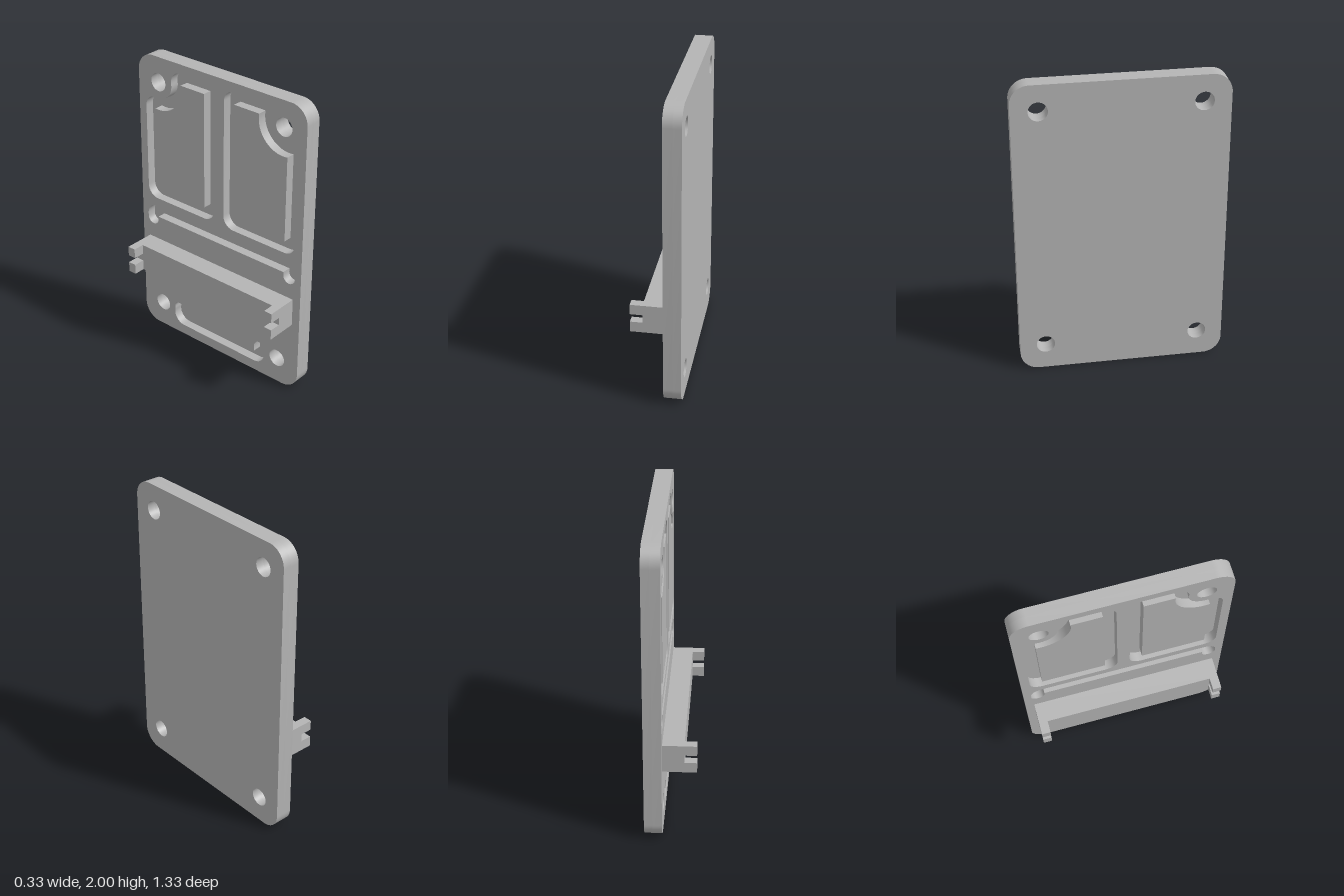
import * as THREE from 'three';
import { toCreasedNormals } from 'three/addons/utils/BufferGeometryUtils.js';

const BACK = 0.05, FLOOR = 0.11, FRONT = 0.163; // plate layers along x
const PI = Math.PI;
const V = (x, y) => new THREE.Vector2(x, y);

// Points along an arc
function arc(cx, cy, r, a0, a1, n = 10) {
  return Array.from({ length: n + 1 }, (_, i) => {
    const a = a0 + ((a1 - a0) * i) / n;
    return V(cx + r * Math.cos(a), cy + r * Math.sin(a));
  });
}
const flip = (pts) => pts.map((p) => V(-p.x, p.y)).reverse();

// Outline of the plate with its four screw holes
function plateShape() {
  const w = 0.667, r = 0.12;
  const s = new THREE.Shape([
    ...arc(w - r, r, r, -PI / 2, 0, 14),
    ...arc(w - r, 2 - r, r, 0, PI / 2, 14),
    ...arc(r - w, 2 - r, r, PI / 2, PI, 14),
    ...arc(r - w, r, r, PI, 1.5 * PI, 14),
  ]);
  for (const x of [-0.5, 0.5]) for (const y of [0.18, 1.83])
    s.holes.push(new THREE.Path(arc(x, y, 0.06, 0, 2 * PI, 32).slice(0, -1)));
  return s;
}

// Raised pad in an upper pocket, cut away around the screw hole
function padPoints() {
  return [V(0.12, 1.07), V(0.53, 1.07), ...arc(0.5, 1.83, 0.19, -1.41, -3.3, 16), V(0.12, 1.86)];
}

// Upper pocket: the pad outline grown by the groove width
function pocketPoints() {
  const g = 0.08;
  return [
    ...arc(0.12, 1.07, g, PI, 1.5 * PI),
    ...arc(0.53, 1.07, g, -PI / 2, 0),
    ...arc(0.53, 1.642, g, 0, 1.73),
    ...arc(0.5, 1.83, 0.11, -1.41, -3.3, 16).slice(1),
    ...arc(0.312, 1.86, g, -0.16, PI / 2).slice(1),
    ...arc(0.12, 1.86, g, PI / 2, PI),
  ];
}

// Long groove above the beam, with ends turned down
function upperGroovePoints() {
  const half = [
    V(0.53, 0.85),
    ...arc(0.575, 0.828, 0.045, PI, 2 * PI),
    ...arc(0.54, 0.85, 0.08, 0, PI / 2),
  ];
  return [...half, ...flip(half)];
}

// Short groove at the bottom, with ends curling up around the screw holes
function lowerGroovePoints() {
  const a = PI - 0.1, b = PI + 0.16;
  const half = [
    ...arc(0.5, 0.18, 0.19, b, a, 6),
    ...arc(0.5 + 0.15 * Math.cos(a), 0.18 + 0.15 * Math.sin(a), 0.04, a, -0.1).slice(1, -1),
    ...arc(0.5, 0.18, 0.11, a, b, 6),
    ...arc(0.312, 0.15, 0.08, 0.16, -PI / 2).slice(1),
  ];
  return [...half, ...flip(half)];
}

export function createModel() {
  const group = new THREE.Group();
  const grey = new THREE.MeshStandardMaterial({ color: 0xb4b4b4 });
  grey.name = 'grey';

  function add(name, geometry) {
    const mesh = new THREE.Mesh(geometry, grey);
    mesh.name = name;
    group.add(mesh);
    return mesh;
  }
  // Extrude an upright outline along x
  function slab(name, shape, x0, x1) {
    const geo = new THREE.ExtrudeGeometry(shape, { depth: x1 - x0, bevelEnabled: false });
    geo.rotateY(PI / 2);
    geo.translate(x0, 0, 0);
    add(name, toCreasedNormals(geo, 0.5));
  }
  function box(name, x0, x1, y0, y1, z0, z1) {
    add(name, new THREE.BoxGeometry(x1 - x0, y1 - y0, z1 - z0))
      .position.set((x0 + x1) / 2, (y0 + y1) / 2, (z0 + z1) / 2);
  }

  // Solid face, then the layer holding the recesses
  slab('plateFace', plateShape(), FLOOR, FRONT);
  const recessed = plateShape();
  for (const pts of [pocketPoints(), flip(pocketPoints()), upperGroovePoints(), lowerGroovePoints()])
    recessed.holes.push(new THREE.Path(pts));
  slab('recessedLayer', recessed, BACK, FLOOR);

  // Pads standing in the two upper pockets
  slab('rightPad', new THREE.Shape(padPoints()), BACK, FLOOR);
  slab('leftPad', new THREE.Shape(flip(padPoints())), BACK, FLOOR);

  // Cross beam with a forked tab at each end
  box('beam', -0.085, BACK, 0.49, 0.68, -0.61, 0.61);
  for (const [z0, z1] of [[-0.61, -0.553], [0.553, 0.61]]) {
    box('lowerProng', -0.163, -0.085, 0.49, 0.56, z0, z1);
    box('upperProng', -0.163, -0.085, 0.613, 0.68, z0, z1);
  }
  return group;
}
